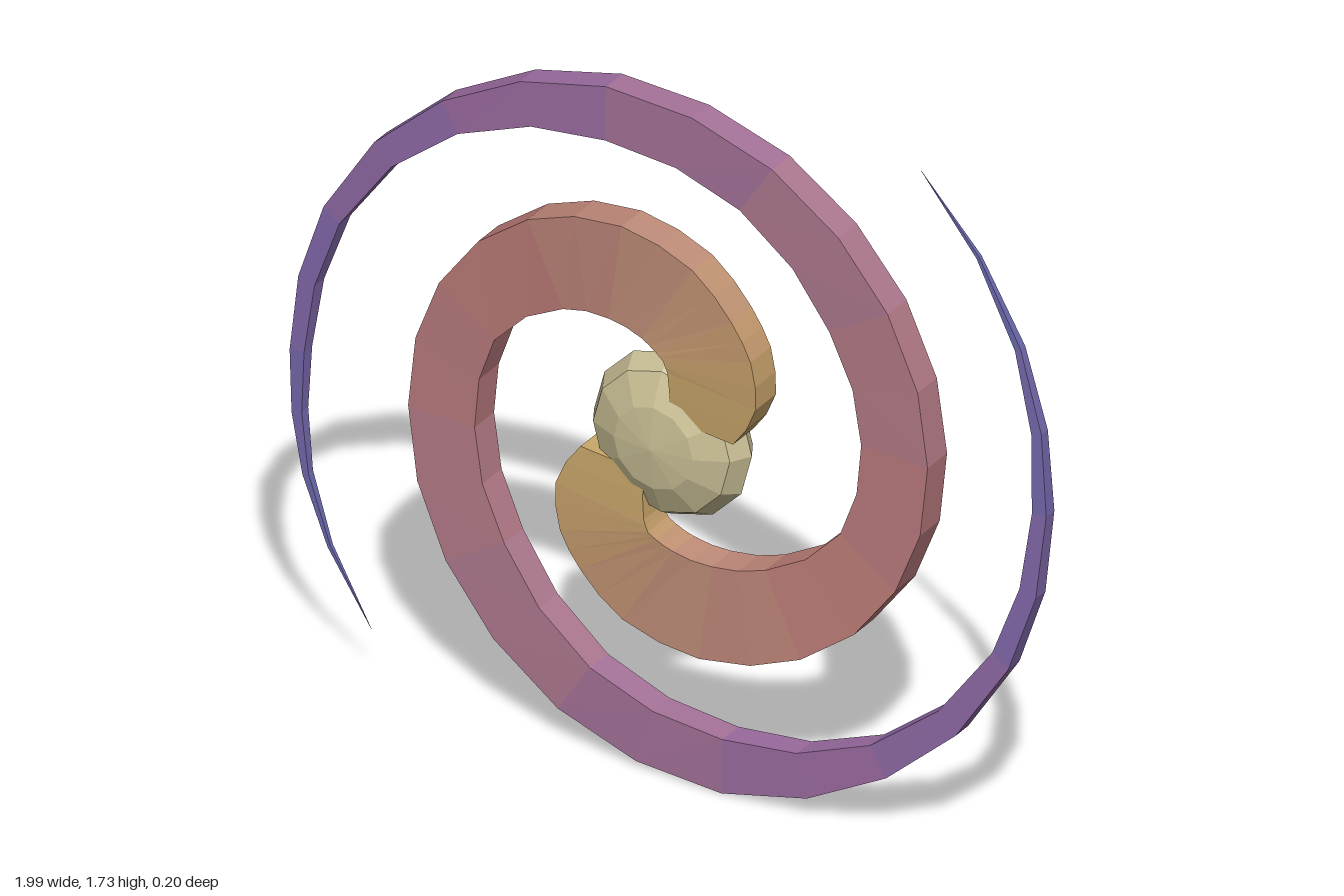
import * as THREE from 'three';

const CENTRE_Y = 0.863;

// Arm edges in polar form: outer angle (deg), outer radius, inner angle, inner radius
const KEYS = [
  [17, 0.21, 70, 0.085], [33, 0.315, 81, 0.2], [49, 0.383, 85, 0.226],
  [62, 0.425, 90, 0.24], [79, 0.484, 99, 0.265], [101, 0.535, 116, 0.31],
  [128, 0.583, 136, 0.37], [160, 0.64, 166, 0.47], [190, 0.695, 194, 0.525],
  [220, 0.76, 223, 0.585], [250, 0.825, 253, 0.675], [280, 0.876, 282, 0.74],
  [310, 0.91, 311, 0.828], [340, 0.96, 341, 0.91], [365, 1.0, 365, 0.962],
  [388, 1.045, 388, 1.028], [413, 1.086, 413, 1.085],
];
const STEPS = 2; // sections per key interval

// Colours from the root of an arm to its tip
const RAMP = [0xc8a868, 0xc49a6c, 0xbe8c78, 0xbc7a78, 0xb07a8c, 0x9c6ca0, 0x7f68ac, 0x6468ac]
  .map((c) => new THREE.Color(c));

function rampColor(t) {
  const f = Math.min(t, 0.999) * (RAMP.length - 1);
  const i = Math.floor(f);
  return RAMP[i].clone().lerp(RAMP[i + 1], f - i);
}

// Four corners of the arm's box section: outer front, outer back, inner back, inner front
function section(i, tipShift) {
  const k = Math.min(Math.floor(i / STEPS), KEYS.length - 2);
  const f = i / STEPS - k;
  const [ao, ro, ai, ri] = KEYS[k].map((v, c) => THREE.MathUtils.lerp(v, KEYS[k + 1][c], f));
  const u = (ao - 17) / 396;
  const half = 0.043 * (1 - u ** 4);
  const z = 0.035 * Math.cos(((ao - 50) / 140) * Math.PI) * (1 - u);
  const shift = tipShift * THREE.MathUtils.smoothstep(u, 0.85, 1);
  const point = (deg, r, dz) => {
    const a = THREE.MathUtils.degToRad(deg + shift);
    return [r * Math.cos(a), r * Math.sin(a), z + dz];
  };
  return [point(ao, ro, half), point(ao, ro, -half), point(ai, ri, -half), point(ai, ri, half)];
}

function makeArm(name, tipShift) {
  const arm = new THREE.Group();
  arm.name = name;
  const count = (KEYS.length - 1) * STEPS;
  const rings = Array.from({ length: count + 1 }, (_, i) => section(i, tipShift));
  const BAND = 2;
  for (let start = 0; start < count; start += BAND) {
    const pos = [];
    const tri = (...pts) => pts.forEach((p) => pos.push(...p));
    for (let i = start; i < start + BAND; i++) {
      const a = rings[i], b = rings[i + 1];
      for (let k = 0; k < 4; k++) {
        const n = (k + 1) % 4;
        tri(a[n], b[n], b[k]);
        tri(a[n], b[k], a[k]);
      }
    }
    if (start === 0) { // closed root
      const r = rings[0];
      tri(r[0], r[2], r[1]);
      tri(r[0], r[3], r[2]);
    }
    const geo = new THREE.BufferGeometry();
    geo.setAttribute('position', new THREE.Float32BufferAttribute(pos, 3));
    geo.computeVertexNormals();
    const color = rampColor((start + BAND / 2) / count);
    const band = new THREE.Mesh(geo, new THREE.MeshStandardMaterial({ color, flatShading: true }));
    band.name = 'armBand';
    arm.add(band);
  }
  return arm;
}

export function createModel() {
  const model = new THREE.Group();
  model.name = 'spiralGalaxy';

  // Flattened core with its poles facing front and back
  const coreGeo = new THREE.SphereGeometry(0.208, 12, 6);
  coreGeo.rotateX(Math.PI / 2);
  coreGeo.scale(1, 1, 0.47);
  const core = new THREE.Mesh(
    coreGeo,
    new THREE.MeshStandardMaterial({ color: 0xc8be94, flatShading: true })
  );
  core.name = 'core';
  model.add(core);

  // Two opposite arms, the second ending a little earlier
  const first = makeArm('firstArm', 0);
  const second = makeArm('secondArm', -10);
  second.rotation.z = Math.PI;
  model.add(first, second);

  model.children.forEach((part) => { part.position.y = CENTRE_Y; });
  return model;
}
